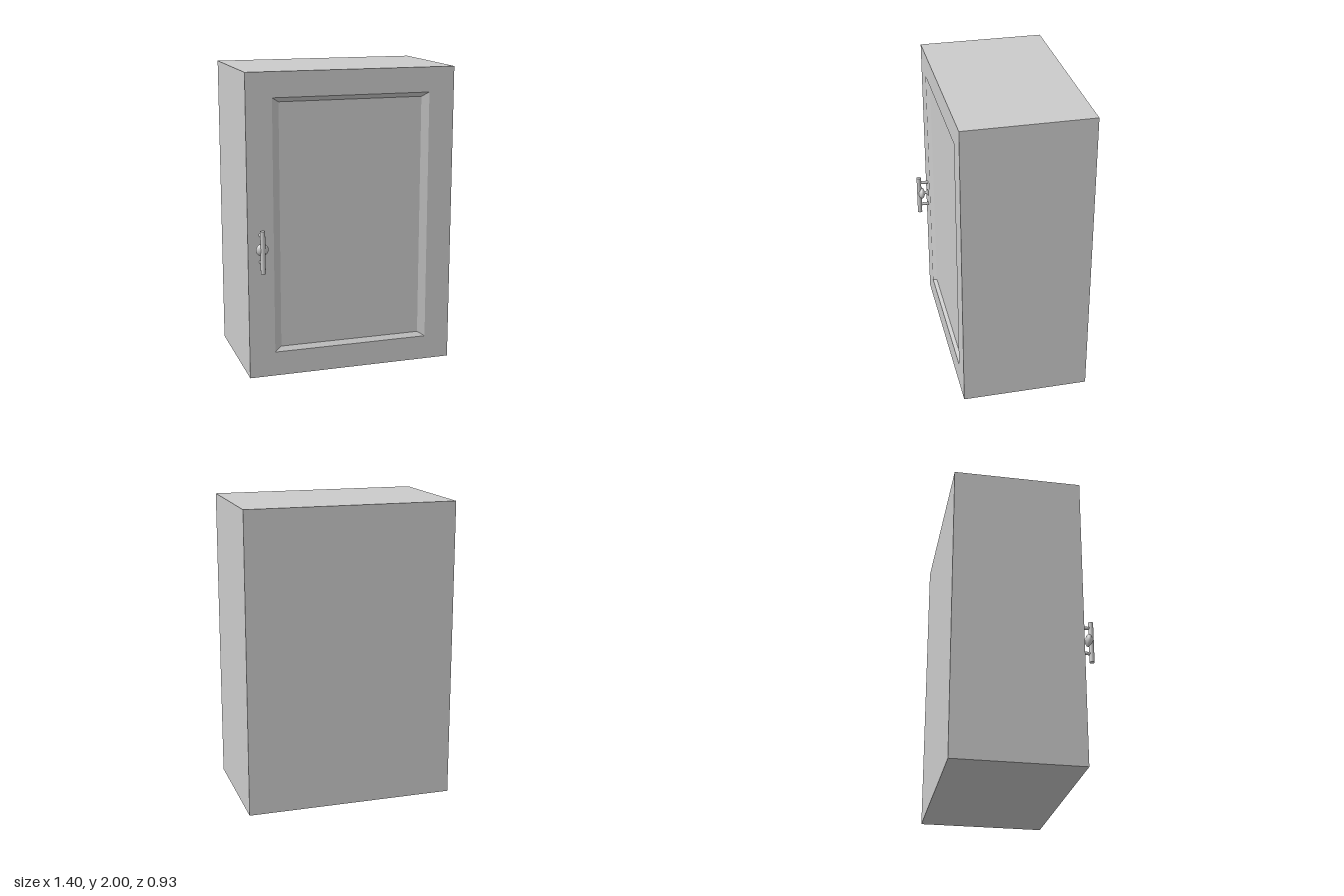
import * as THREE from 'three';

const W = 0.698, H = 2, BACK = -0.464, SEAM = 0.337, FRONT = 0.383;
const HX = -0.615, HY = 0.878;

const material = new THREE.MeshStandardMaterial({ color: 0xcccccc });

function add(parent, name, geometry, x = 0, y = 0, z = 0) {
  const mesh = new THREE.Mesh(geometry, material);
  mesh.name = name;
  mesh.position.set(x, y, z);
  parent.add(mesh);
  return mesh;
}

// Joins rectangles [halfWidth, halfHeight, z] from back to front and caps both ends.
function loftRectangles(rects) {
  const loops = rects.map(([w, h, z]) => [[-w, -h, z], [w, -h, z], [w, h, z], [-w, h, z]]);
  const positions = [];
  const quad = (a, b, c, d) => positions.push(...a, ...b, ...c, ...a, ...c, ...d);
  for (let i = 0; i < loops.length - 1; i++) {
    const p = loops[i], q = loops[i + 1];
    for (let k = 0; k < 4; k++) {
      const n = (k + 1) % 4;
      quad(p[k], p[n], q[n], q[k]);
    }
  }
  const first = loops[0], last = loops[loops.length - 1];
  quad(first[3], first[2], first[1], first[0]);
  quad(...last);
  const geometry = new THREE.BufferGeometry();
  geometry.setAttribute('position', new THREE.Float32BufferAttribute(positions, 3));
  geometry.computeVertexNormals();
  return geometry;
}

export function createModel() {
  const cabinet = new THREE.Group();
  cabinet.name = 'wallCabinet';

  // Carcass
  add(cabinet, 'carcass', new THREE.BoxGeometry(2 * W, H, SEAM - BACK), 0, H / 2, (SEAM + BACK) / 2);

  // Door with a sunken, bevelled centre panel
  add(cabinet, 'door', loftRectangles([
    [W, H / 2, SEAM],
    [W, H / 2, FRONT],
    [0.527, 0.837, FRONT],
    [0.48, 0.808, FRONT - 0.022],
  ]), 0, H / 2, 0);

  // Bar handle on two posts
  const handle = new THREE.Group();
  handle.name = 'handle';
  handle.position.set(HX, 0, 0);
  cabinet.add(handle);
  const barZ = 0.448;
  add(handle, 'handleBar', new THREE.CylinderGeometry(0.016, 0.016, 0.28, 24), 0, 0.865, barZ);
  for (const y of [0.786, 0.964]) {
    const post = add(handle, 'handlePost', new THREE.CylinderGeometry(0.011, 0.011, barZ - FRONT, 20),
      0, y, (barZ + FRONT) / 2);
    post.rotation.x = Math.PI / 2;
  }

  // Round knob with a flared foot, turned around the z axis
  const profile = [
    [0, 0], [0.023, 0], [0.022, 0.004], [0.014, 0.009], [0.01, 0.015], [0.011, 0.023],
    [0.018, 0.028], [0.032, 0.034], [0.039, 0.041], [0.041, 0.047], [0.039, 0.054],
    [0.032, 0.062], [0.022, 0.069], [0.011, 0.073], [0, 0.074],
  ].map(([r, y]) => new THREE.Vector2(r, y));
  const knob = add(handle, 'knob', new THREE.LatheGeometry(profile, 32), 0, HY, FRONT);
  knob.rotation.x = Math.PI / 2;

  return cabinet;
}
